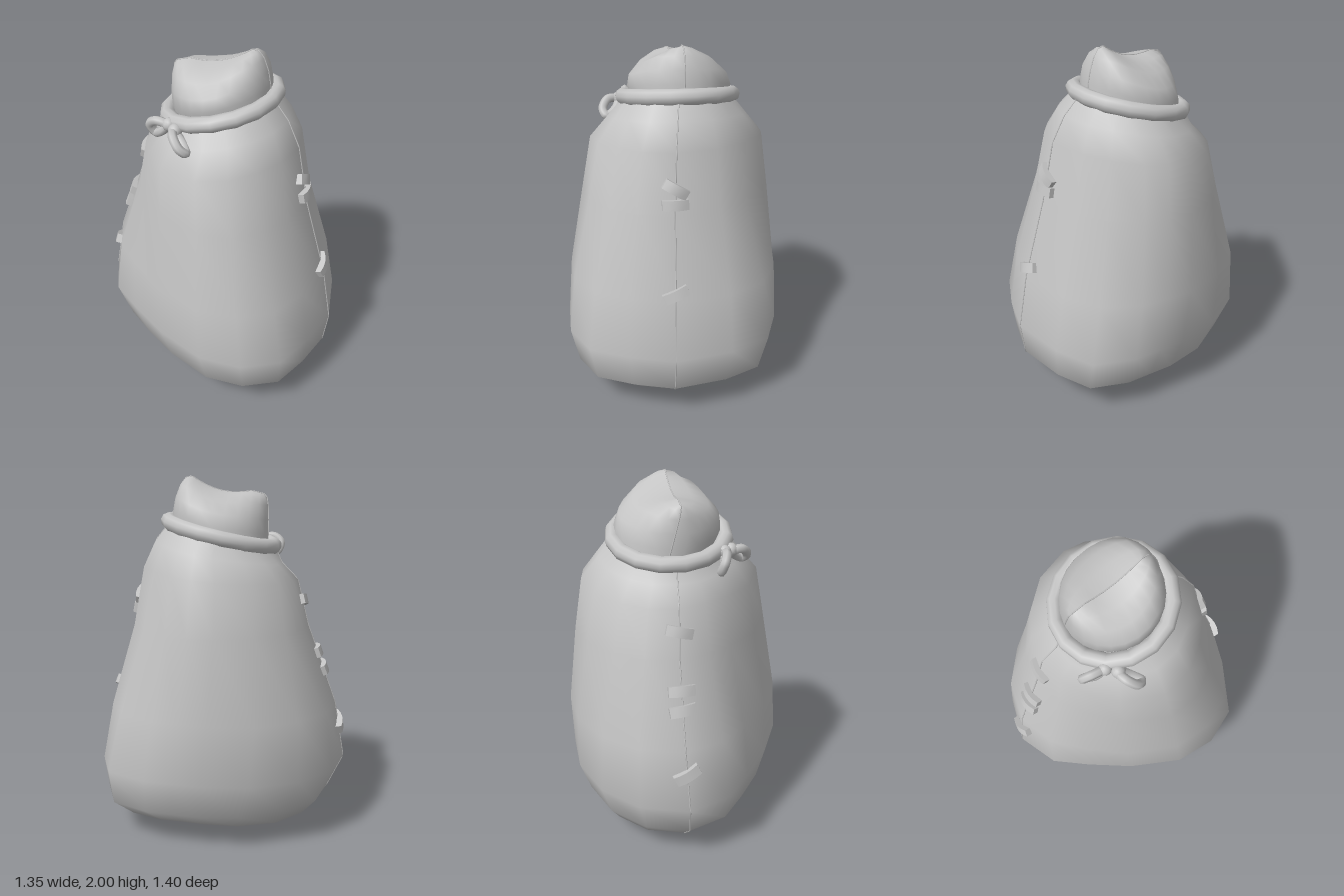
import * as THREE from 'three';

const cloth = new THREE.MeshStandardMaterial({ color: 0xc4c4c4 });
cloth.name = 'plain grey';
cloth.side = THREE.DoubleSide;

const V = (x, y, z) => new THREE.Vector3(x, y, z);

// Widest outline of the sack as x, z pairs, clockwise from above
const outline = [
  [-0.12, -0.70], [0.15, -0.62], [0.36, -0.47], [0.46, -0.36], [0.57, -0.24], [0.67, -0.02],
  [0.59, 0.21], [0.41, 0.48], [0.19, 0.61], [-0.03, 0.70], [-0.25, 0.64], [-0.43, 0.48],
  [-0.56, 0.20], [-0.63, -0.06], [-0.675, -0.28], [-0.60, -0.52], [-0.38, -0.67],
];
const N = outline.length;

// Levels: y, xMin, xMax, zMin, zMax, roundness, tilt, bulge between the seams
const levels = [
  [0.0, -0.105, -0.095, -0.06, -0.05, 0, 0, 0],
  [0.045, -0.32, 0.25, -0.33, 0.30, 0, 0, -0.06],
  [0.115, -0.52, 0.52, -0.55, 0.56, 0, 0, -0.06],
  [0.2, -0.61, 0.63, -0.615, 0.665, 0, 0, 0],
  [0.4, -0.675, 0.67, -0.70, 0.70, 0, 0, 0],
  [0.73, -0.635, 0.60, -0.685, 0.63, 0.3, 0, 0.02],
  [1.18, -0.51, 0.45, -0.57, 0.48, 0.75, 0, 0.09],
  [1.47, -0.465, 0.39, -0.51, 0.40, 0.95, 0.06, 0.1],
  [1.585, -0.385, 0.325, -0.42, 0.32, 1, 0.12, 0.06],
  [1.69, -0.335, 0.245, -0.36, 0.22, 1, 0.17, 0],
];

// Point of the sack at outline index i on one level
function sackPoint(i, level) {
  const [y, x0, x1, z0, z1, round, tilt, bulge] = level;
  const [px, pz] = outline[(i + N) % N];
  const a = Math.atan2(pz / 0.7, px / 0.675);
  const swell = 1 + bulge * Math.max(0, -Math.sin(2 * a));
  const nx = THREE.MathUtils.lerp(px / 0.6725, Math.cos(a), round) * swell * (x1 - x0) / 2;
  const nz = THREE.MathUtils.lerp(pz / 0.7, Math.sin(a), round) * swell * (z1 - z0) / 2;
  return V((x0 + x1) / 2 + nx, y + tilt * (nx + nz), (z0 + z1) / 2 + nz);
}

// Level values interpolated at a given height
function levelAt(y) {
  const j = Math.max(1, levels.findIndex((l) => l[0] >= y));
  const t = (y - levels[j - 1][0]) / (levels[j][0] - levels[j - 1][0]);
  return levels[j].map((v, k) => THREE.MathUtils.lerp(levels[j - 1][k], v, t));
}

// Smooth skin over closed rings of equal length, from bottom to top
function loft(rings) {
  const n = rings[0].length, index = [];
  for (let j = 0; j < rings.length - 1; j++) {
    for (let i = 0; i < n; i++) {
      const k = (i + 1) % n;
      const a = j * n + i, b = j * n + k, c = b + n, d = a + n;
      index.push(a, d, c, a, c, b);
    }
  }
  const g = new THREE.BufferGeometry().setFromPoints(rings.flat());
  g.setIndex(index);
  g.computeVertexNormals();
  return g;
}

// Gathered top: a dome pinched into a slightly curved diagonal ridge with two peaks
const CROWN = 24;
function crownPoint(i, step) {
  const [cross, front, back, h] = step;
  const a = (i / CROWN) * Math.PI * 2; // zero points along the ridge to the front
  const along = Math.cos(a) * 0.265 * (Math.cos(a) > 0 ? front : back);
  const side = Math.sin(a) * 0.265 * cross + h * (0.03 - 0.15 * along);
  const x = -0.03 + (along - side) * Math.SQRT1_2;
  const z = -0.075 + (along + side) * Math.SQRT1_2;
  const height = 0.225 + 0.038 * Math.min(1, (along / 0.16) ** 2);
  return V(x, 1.69 + 0.24 * along + h * height, z);
}
const crownSteps = [
  [1, 1, 1, -0.1], [1.07, 0.98, 1, 0.22], [1.0, 0.93, 0.99, 0.5],
  [0.74, 0.84, 0.97, 0.78], [0.38, 0.74, 0.94, 0.94], [0, 0.62, 0.88, 1],
];

export function createModel() {
  const model = new THREE.Group();
  model.name = 'tiedSack';
  const add = (name, geometry) => {
    const mesh = new THREE.Mesh(geometry, cloth);
    mesh.name = name;
    model.add(mesh);
    return mesh;
  };

  add('sackBody', loft(levels.map((l) => outline.map((_, i) => sackPoint(i, l)))));
  add('gatheredTop', loft(crownSteps.map((s) => Array.from({ length: CROWN }, (_, i) => crownPoint(i, s)))));

  // Seams follow the sack's two corners and the ridge of the top
  const seam = (name, points) => {
    const path = new THREE.CurvePath();
    for (let i = 1; i < points.length; i++) path.add(new THREE.LineCurve3(points[i - 1], points[i]));
    add(name, new THREE.TubeGeometry(path, 80, 0.004, 5));
  };
  seam('frontSeam', levels.map((l) => sackPoint(7, l)));
  seam('backSeam', levels.map((l) => sackPoint(15, l)));
  const ridge = crownSteps[crownSteps.length - 1];
  seam('topSeam', [
    ...crownSteps.map((s) => crownPoint(0, s)),
    ...Array.from({ length: CROWN / 2 }, (_, i) => crownPoint(i + 1, ridge)),
    ...crownSteps.slice(0, -1).reverse().map((s) => crownPoint(CROWN / 2, s)),
  ]);

  // Stitches: seam index, height, turn in radians
  const stitches = [
    [7, 1.305, -0.5], [7, 1.235, 0.06], [7, 0.78, 0.42],
    [15, 1.34, -0.2], [15, 1.03, 0], [15, 0.935, 0.12], [15, 0.61, 0.42],
  ];
  for (const [i, y, turn] of stitches) {
    const l = levelAt(y);
    const p = sackPoint(i, l);
    const up = sackPoint(i, levelAt(y + 0.03)).sub(sackPoint(i, levelAt(y - 0.03))).normalize();
    const right = sackPoint(i - 1, l).sub(sackPoint(i + 1, l)).normalize();
    const out = right.clone().cross(up).normalize();
    right.copy(up).cross(out);
    // Band bent around the seam
    const g = new THREE.BoxGeometry(0.14, 0.055, 0.035, 4, 1, 1);
    const pos = g.attributes.position;
    for (let k = 0; k < pos.count; k++) pos.setZ(k, pos.getZ(k) + 0.012 - 3.5 * pos.getX(k) ** 2);
    g.computeVertexNormals();
    g.rotateZ(turn);
    g.applyMatrix4(new THREE.Matrix4().makeBasis(right, up, out).setPosition(p));
    add('stitch', g);
  }

  // Rope around the neck
  const rope = add('neckRope', new THREE.TorusGeometry(0.302, 0.044, 10, 16));
  rope.position.set(-0.043, 1.683, -0.066);
  rope.quaternion.setFromUnitVectors(V(0, 0, 1), V(-0.17, 1, -0.17).normalize());

  // Bow with two knots and two loops
  for (const [x, y, z] of [[-0.37, 1.64, 0], [-0.362, 1.635, 0.065]]) {
    add('bowKnot', new THREE.SphereGeometry(0.037, 12, 8)).position.set(x, y, z);
  }
  const loop = (points) => add('bowLoop', new THREE.TubeGeometry(
    new THREE.CatmullRomCurve3(points, true, 'centripetal'), 32, 0.025, 7, true));
  loop([V(-0.38, 1.635, -0.01), V(-0.425, 1.65, -0.05), V(-0.445, 1.615, -0.09),
    V(-0.42, 1.565, -0.085), V(-0.4, 1.59, -0.035)]);
  loop([V(-0.37, 1.63, 0.07), V(-0.395, 1.635, 0.12), V(-0.385, 1.59, 0.175),
    V(-0.35, 1.56, 0.18), V(-0.345, 1.59, 0.11)]);

  return model;
}
